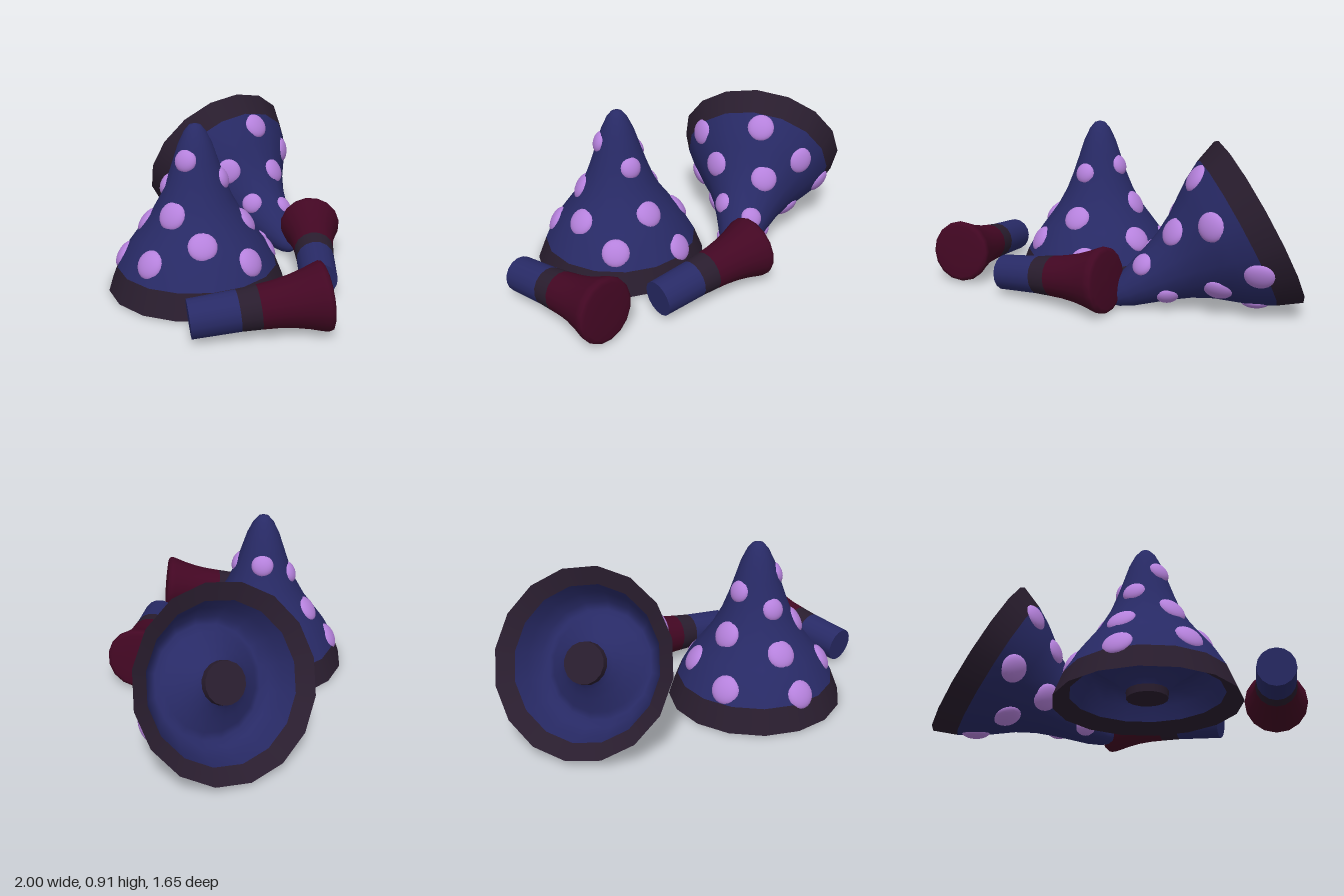
import * as THREE from 'three';

const mat = (name, color) => {
  const m = new THREE.MeshStandardMaterial({ color });
  m.name = name;
  return m;
};
const UP = new THREE.Vector3(0, 1, 0);

// Outer silhouette of the cone above its rim: [radius, height]
const CONE = [
  [0.435, 0.13], [0.378, 0.23], [0.327, 0.3], [0.252, 0.4], [0.196, 0.5], [0.156, 0.6],
  [0.122, 0.7], [0.092, 0.79], [0.058, 0.86], [0.03, 0.893], [0, 0.902],
];

export function createModel() {
  const blue = mat('navyBlue', 0x282a66);
  const dark = mat('darkPlum', 0x291d2e);
  const maroon = mat('maroon', 0x430723);
  const lilac = mat('lilac', 0xb581dc);

  // Turned part; separate calls keep the edges between parts sharp
  const turned = (parent, name, material, profile) => {
    const points = profile.map(([r, y]) => new THREE.Vector2(r, y));
    const mesh = new THREE.Mesh(new THREE.LatheGeometry(points, 16), material);
    mesh.name = name;
    parent.add(mesh);
  };

  // Radius and outward slope of the cone at a height
  const coneAt = (y) => {
    let i = 1;
    while (CONE[i][1] < y) i++;
    const [r0, y0] = CONE[i - 1], [r1, y1] = CONE[i];
    return { r: r0 + (r1 - r0) * (y - y0) / (y1 - y0), slope: (r0 - r1) / (y1 - y0) };
  };

  // Raised spots: [angle in degrees from +x towards +z, height]
  const SPOTS = [
    [63, 0.725], [131, 0.57], [69, 0.455], [135, 0.36], [74, 0.23], [128, 0.17],
    [27, 0.33], [-48, 0.61], [-56, 0.37], [-15, 0.22], [-73, 0.165],
    [237, 0.26], [188, 0.2], [208, 0.43], [212, 0.65],
  ];
  // Shallow dome, sunk so that it meets the cone at a low angle
  const spotGeometry = new THREE.SphereGeometry(1, 20, 8, 0, Math.PI * 2, 0, Math.PI / 2);

  function makeCone(name) {
    const cone = new THREE.Group();
    cone.name = name;
    turned(cone, 'coneBody', blue, CONE);
    turned(cone, 'rimBand', dark, [[0.486, 0], CONE[0]]);
    turned(cone, 'rimLip', dark, [[0.4, 0.05], [0.486, 0]]);
    // Hollow underside with a flared core
    turned(cone, 'hollowInside', blue,
      [[0.11, 0.07], [0.13, 0.1], [0.18, 0.145], [0.25, 0.2], [0.29, 0.225], [0.33, 0.2], [0.37, 0.13], [0.4, 0.05]]);
    turned(cone, 'coreSide', dark, [[0.108, 0.03], [0.11, 0.07]]);
    turned(cone, 'coreCap', dark, [[0, 0.03], [0.108, 0.03]]);
    for (const [deg, y] of SPOTS) {
      const a = THREE.MathUtils.degToRad(deg);
      const { r, slope } = coneAt(y);
      const normal = new THREE.Vector3(Math.cos(a), slope, Math.sin(a)).normalize();
      const spot = new THREE.Mesh(spotGeometry, lilac);
      const size = y > 0.5 ? 0.062 : 0.078;
      spot.name = 'spot';
      spot.position.set(r * Math.cos(a), y, r * Math.sin(a)).addScaledVector(normal, -0.016);
      spot.quaternion.setFromUnitVectors(UP, normal);
      spot.scale.set(size, 0.037, size);
      cone.add(spot);
    }
    return cone;
  }

  // Flared club running from its handle end to its wide end
  function makeClub(name, from, to) {
    const club = new THREE.Group();
    club.name = name;
    turned(club, 'handleEnd', blue, [[0, 0], [0.098, 0]]);
    turned(club, 'handle', blue, [[0.098, 0], [0.103, 0.24]]);
    turned(club, 'collar', dark, [[0.103, 0.24], [0.11, 0.34]]);
    // Flare rolls smoothly over its lip into the end face
    turned(club, 'flare', maroon,
      [[0.11, 0.34], [0.117, 0.42], [0.13, 0.5], [0.148, 0.57], [0.168, 0.63],
        [0.175, 0.655], [0.17, 0.673], [0.15, 0.682], [0.08, 0.686], [0, 0.687]]);
    club.position.copy(from);
    club.quaternion.setFromUnitVectors(UP, to.clone().sub(from).normalize());
    return club;
  }

  const model = new THREE.Group();
  model.name = 'spottedConesAndClubs';

  const standing = makeCone('standingCone');
  standing.position.set(0.018, 0.01, 0.334);

  const tipped = makeCone('tippedCone');
  tipped.position.set(-0.775, 0.46, -0.34);
  tipped.rotation.z = THREE.MathUtils.degToRad(-117.8);

  const v = (x, y, z) => new THREE.Vector3(x, y, z);
  model.add(
    standing,
    tipped,
    makeClub('frontClub', v(0.55, 0.118, 0.727), v(0.847, 0.187, 0.12)),
    makeClub('rearClub', v(0.582, 0.118, -0.06), v(0.04, 0.187, -0.452)),
  );
  return model;
}
